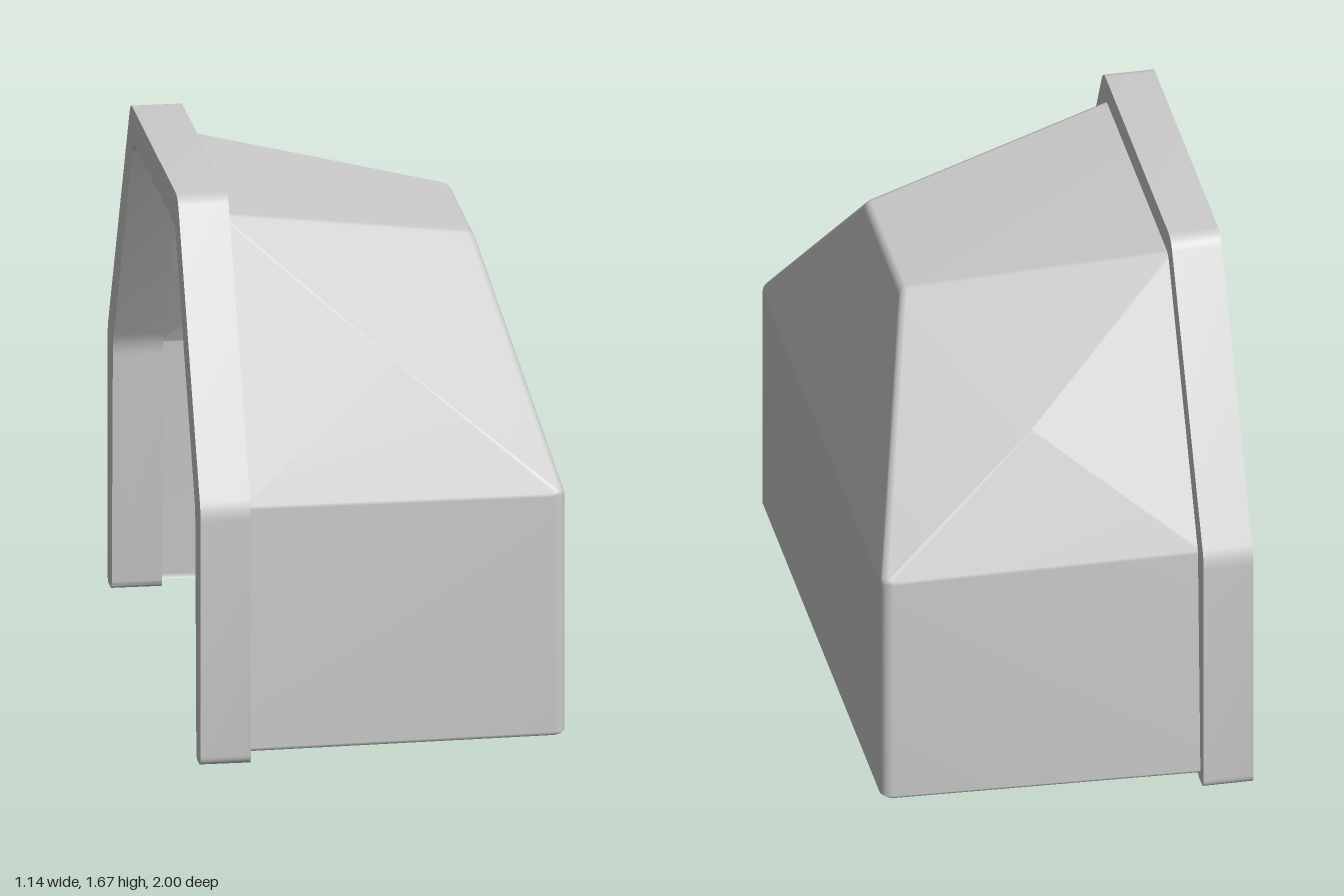
import * as THREE from 'three';
import { mergeVertices, toCreasedNormals } from 'three/addons/utils/BufferGeometryUtils.js';
import { ConvexGeometry } from 'three/addons/geometries/ConvexGeometry.js';

const BACK = -0.42, BASE = 0.025, LIP = 0.037, WALL = 0.015;

// Closed outline with every corner rounded by its own radius: [x, y, radius]
function roundedShape(corners) {
  const shape = new THREE.Shape();
  corners.forEach(([x, y, r], i) => {
    const p = new THREE.Vector2(x, y);
    const prev = new THREE.Vector2(...corners.at(i - 1));
    const next = new THREE.Vector2(...corners[(i + 1) % corners.length]);
    const a = p.clone().add(prev.sub(p).setLength(r));
    const b = p.clone().add(next.sub(p).setLength(r));
    if (i === 0) shape.moveTo(a.x, a.y);
    else shape.lineTo(a.x, a.y);
    shape.quadraticCurveTo(x, y, b.x, b.y);
  });
  shape.closePath();
  return shape;
}

// Rounded faceted skin, left open at the back and the bottom
function hoodSkin(corners, radius, inward) {
  const ball = new THREE.IcosahedronGeometry(1, 3).attributes.position;
  const points = new Map();
  for (const [x, y, z, r = radius] of corners) {
    for (const side of [1, -1]) {
      for (let i = 0; i < ball.count; i++) {
        const d = new THREE.Vector3().fromBufferAttribute(ball, i);
        const p = new THREE.Vector3(
          x === BACK ? x : x + r * (d.x - 1),
          y <= LIP ? y : y + r * (d.y - 1),
          side * (z + r * (d.z - 1)));
        points.set(p.toArray().map((v) => v.toFixed(4)).join(), p);
      }
    }
  }
  const hull = new ConvexGeometry([...points.values()]).attributes.position;
  const kept = [];
  for (let i = 0; i < hull.count; i += 3) {
    const tri = [0, 1, 2].map((k) => new THREE.Vector3().fromBufferAttribute(hull, i + k));
    const atBack = tri.every((p) => Math.abs(p.x - BACK) < 1e-4);
    const atBase = tri.every((p) => Math.abs(p.y - BASE) < 1e-4);
    if (atBack || atBase) continue;
    if (inward) tri.reverse();
    tri.forEach((p) => kept.push(p.x, p.y, p.z));
  }
  let geo = new THREE.BufferGeometry();
  geo.setAttribute('position', new THREE.Float32BufferAttribute(kept, 3));
  geo = mergeVertices(geo, 1e-4);
  geo.computeVertexNormals();
  return geo;
}

export function createModel() {
  const group = new THREE.Group();
  const material = new THREE.MeshStandardMaterial({ color: 0xcccccc });
  const add = (name, geo) => {
    const mesh = new THREE.Mesh(geo, material);
    mesh.name = name;
    group.add(mesh);
    return mesh;
  };

  // Arched frame around the open end
  const half = [
    [0.91, 0, 0.025], [1, 0, 0.03], [1, 0.81, 0.035], [0.507, 1.668, 0.04],
  ];
  const inner = [[0.45, 1.56, 0.045], [0.885, 0.79, 0.04]];
  const mirror = (list) => list.map(([x, y, r]) => [-x, y, r]).reverse();
  const outline = roundedShape([...half, ...mirror(half), ...mirror(inner), ...inner]);
  const arch = new THREE.ExtrudeGeometry(outline, { depth: 0.155, bevelEnabled: false, curveSegments: 6 });
  arch.rotateY(Math.PI / 2).translate(-0.57, 0, 0);
  add('archFrame', toCreasedNormals(arch, 0.6));

  // Hood corners on one side: [x, y, z, optional rounding]
  const corners = [
    [BACK, BASE, 0.94], [BACK, LIP, 0.95], [BACK, 0.82, 0.914], [BACK, 1.592, 0.48],
    [0.07, 1.185, 0.742, 0.003],
    [0.384, 1.45, 0.29], [0.569, 0.82, 0.911], [0.569, LIP, 0.911], [0.559, BASE, 0.901],
  ];
  const inset = corners.map(([x, y, z, r]) => [
    x === BACK ? x : x - WALL, y <= LIP ? y : y - WALL, z - WALL, r,
  ]);
  add('hoodOuter', hoodSkin(corners, 0.035, false));
  add('hoodInner', hoodSkin(inset, 0.02, true));

  // Bottom rim joining the two skins
  const x1 = 0.559, z0 = 0.94, z1 = 0.901, cut = 0.015;
  const rim = new THREE.Shape([
    [BACK, z0], [x1 - cut, z1], [x1, z1 - cut], [x1, cut - z1], [x1 - cut, -z1], [BACK, -z0],
    [BACK, WALL - z0], [x1 - WALL, WALL - z1], [x1 - WALL, z1 - WALL], [BACK, z0 - WALL],
  ].map(([x, z]) => new THREE.Vector2(x, z)));
  add('hoodRim', new THREE.ShapeGeometry(rim).rotateX(Math.PI / 2)).position.y = BASE;

  return group;
}
